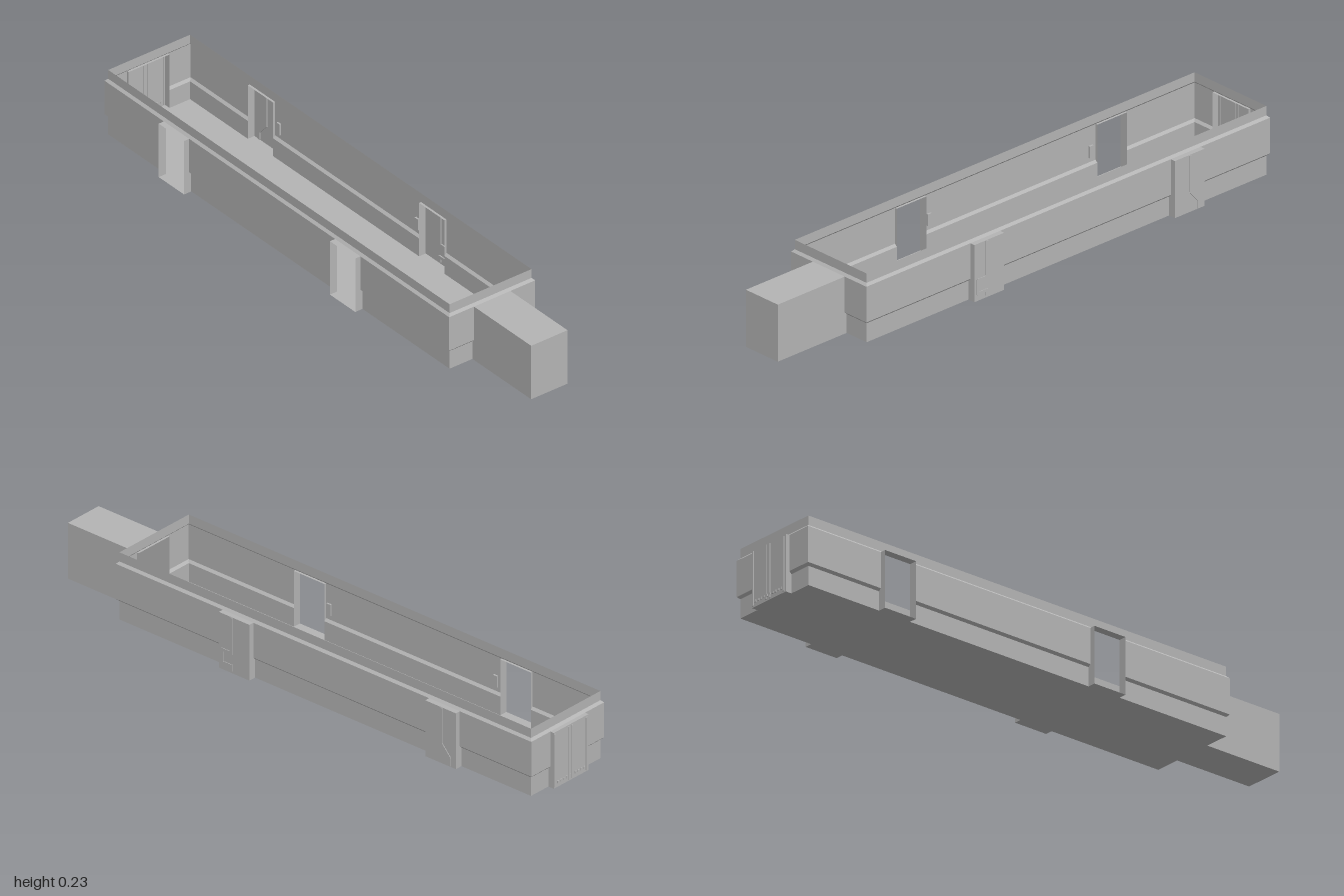
import * as THREE from 'three';

export function createModel() {
  const model = new THREE.Group();
  model.name = 'openHousing';
  const grey = new THREE.MeshStandardMaterial({ color: 0xb4b4b4, side: THREE.DoubleSide });
  grey.name = 'plain grey';

  const FRONT = 0.71, BACK = -0.975, HALF_W = 0.16;
  const HALF_L = (FRONT - BACK) / 2, MID = (FRONT + BACK) / 2;
  const HEAD = 0.195; // top of all openings
  // wall section: outward offset, height
  const profile = [[0, 0], [0, 0.065], [0.008, 0.073], [0.008, HEAD], [0, 0.203], [0, 0.235]];

  // flat-shaded mesh from quads of four [x, y, z] corners
  function quadMesh(name, quads, parent) {
    const pos = quads.flatMap(([a, b, c, d]) => [...a, ...b, ...c, ...a, ...c, ...d]);
    const geo = new THREE.BufferGeometry();
    geo.setAttribute('position', new THREE.Float32BufferAttribute(pos, 3));
    geo.computeVertexNormals();
    const mesh = new THREE.Mesh(geo, grey);
    mesh.name = name;
    parent.add(mesh);
  }

  function box(name, parent, size, at, turn = 0) {
    const mesh = new THREE.Mesh(new THREE.BoxGeometry(...size), grey);
    mesh.name = name;
    mesh.position.set(...at);
    mesh.rotation.z = turn;
    parent.add(mesh);
  }

  // one side in its own frame: x along the wall, z outward
  function side(name, x, z, turn, half, openings) {
    const group = new THREE.Group();
    group.name = name;
    group.position.set(x, 0, z);
    group.rotation.y = turn;
    model.add(group);

    const cuts = [-half, ...openings.flatMap(o => [o.from, o.to]), half];
    const quads = [];
    for (let i = 0; i < cuts.length - 1; i++) {
      const isOpen = i % 2 === 1;
      const startMiter = i === 0 ? 1 : 0, endMiter = i === cuts.length - 2 ? 1 : 0;
      for (let j = 0; j < profile.length - 1; j++) {
        const [o0, y0] = profile[j], [o1, y1] = profile[j + 1];
        if (isOpen && y0 < HEAD) continue;
        const a = cuts[i], b = cuts[i + 1];
        quads.push([
          [a - o0 * startMiter, y0, o0], [b + o0 * endMiter, y0, o0],
          [b + o1 * endMiter, y1, o1], [a - o1 * startMiter, y1, o1],
        ]);
      }
    }
    quadMesh(name + 'Wall', quads, group);

    // sleeve around each opening, with an optional cover
    for (const { from: a, to: b, depth: d, cover } of openings) {
      const sleeve = [
        [[a, 0, 0], [a, 0, d], [a, HEAD, d], [a, HEAD, 0]],
        [[b, 0, d], [b, 0, 0], [b, HEAD, 0], [b, HEAD, d]],
        [[a, HEAD, d], [b, HEAD, d], [b, HEAD, 0], [a, HEAD, 0]],
        [[a, 0, 0], [b, 0, 0], [b, 0, d], [a, 0, d]],
      ];
      quadMesh('openingSleeve', sleeve, group);
      if (cover) quadMesh('cover', [[[a, 0, d], [b, 0, d], [b, HEAD, d], [a, HEAD, d]]], group);
    }
    return group;
  }

  // narrow ridge following a path on a cover
  function ridge(group, centre, z, path) {
    const w = 0.01;
    for (let i = 0; i < path.length - 1; i++) {
      const [x0, y0] = path[i], [x1, y1] = path[i + 1];
      box('coverRidge', group, [Math.hypot(x1 - x0, y1 - y0) + w * 0.6, w, 0.006],
        [centre + (x0 + x1) / 2, (y0 + y1) / 2, z], Math.atan2(y1 - y0, x1 - x0));
    }
  }

  // floor
  quadMesh('floor', [[[-HALF_W, 0, BACK], [HALF_W, 0, BACK], [HALF_W, 0, FRONT], [-HALF_W, 0, FRONT]]], model);

  // front with long hollow nose
  side('front', 0, FRONT, 0, HALF_W, [{ from: -0.071, to: 0.071, depth: 1 - FRONT, cover: true }]);

  // back with ribbed panel
  const back = side('back', 0, BACK, Math.PI, HALF_W, [{ from: -0.08, to: 0.08, depth: 0.022, cover: true }]);
  for (const x of [-0.074, -0.012, 0.004, 0.07]) {
    box('panelRib', back, [0.006, 0.185, 0.006], [x, 0.097, 0.022]);
  }
  for (let i = 0; i < 10; i++) {
    box('panelStud', back, [0.006, 0.008, 0.006], [-0.062 + i * 0.0135, 0.018, 0.022]);
  }

  // left side with two covered boxes
  const left = side('left', HALF_W, MID, Math.PI / 2, HALF_L, [
    { from: -0.4125, to: -0.2875, depth: 0.026, cover: true },
    { from: 0.4325, to: 0.5575, depth: 0.026, cover: true },
  ]);
  ridge(left, -0.35, 0.025, [[-0.01, 0.19], [-0.01, 0.07], [-0.048, 0.07], [-0.048, 0.025], [-0.01, 0.025], [-0.01, 0.01]]);
  ridge(left, 0.495, 0.025, [[0.0025, 0.19], [0.0025, 0.07], [0.0375, 0.03], [0.0375, 0.005]]);

  // right side with two open frames
  const right = side('right', -HALF_W, MID, -Math.PI / 2, HALF_L, [
    { from: -0.5575, to: -0.4325, depth: 0.028 },
    { from: 0.2875, to: 0.4125, depth: 0.028 },
  ]);

  // small catches inside, beside the openings
  for (const u of [-0.272, 0.41]) {
    box('innerCatch', left, [0.016, 0.04, 0.006], [u, 0.11, 0.004]);
    box('innerCatch', right, [0.016, 0.04, 0.006], [-u, 0.11, 0.004]);
  }

  return model;
}
